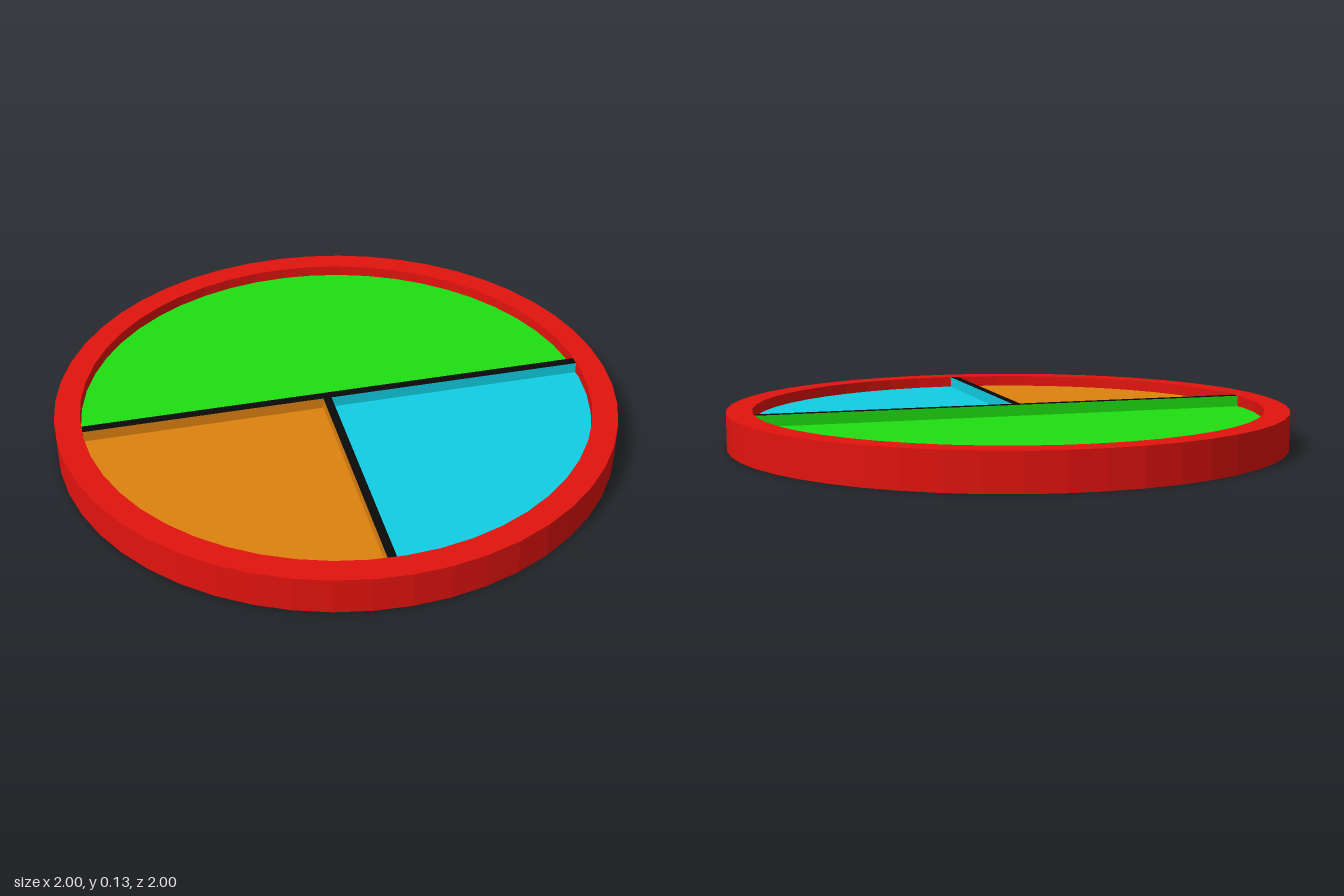
import * as THREE from 'three';

const SIDES = 50, R_OUT = 1, R_IN = 0.91, TOP = 0.13, FLOOR = 0.09;
const WALL_Z = 0.008; // centre line of the long divider
const WALL_END = 0.907; // where the dividers meet the rim
const CROSS_X = -0.041; // centre line of the short divider

const paint = (color) => new THREE.MeshStandardMaterial({ color, flatShading: true });

function addMesh(group, name, geometry, material) {
  const mesh = new THREE.Mesh(geometry, material);
  mesh.name = name;
  group.add(mesh);
  return mesh;
}

// Flat floor: inner rim corners from index a to b, closed by extra [x, z] corners
function floorGeometry(a, b, corners) {
  const points = [];
  for (let k = a; k <= b; k++) {
    const t = (k / SIDES) * Math.PI * 2;
    points.push([R_IN * Math.sin(t), R_IN * Math.cos(t)]);
  }
  const shape = new THREE.Shape([...points, ...corners].map(([x, z]) => new THREE.Vector2(x, -z)));
  return new THREE.ShapeGeometry(shape).rotateX(-Math.PI / 2).translate(0, FLOOR, 0);
}

export function createModel() {
  const model = new THREE.Group();
  model.name = 'dividedDish';
  const red = paint(0xe2130e), green = paint(0x1edf11), teal = paint(0x11cee3);
  const orange = paint(0xde820f), black = paint(0x0a0a0a), grey = paint(0xcccccc);

  // Rim: outer wall, flat top and short inner wall
  const profile = [[R_OUT, 0], [R_OUT, TOP], [R_IN, TOP], [R_IN, FLOOR]]
    .map(([r, y]) => new THREE.Vector2(r, y));
  addMesh(model, 'rim', new THREE.LatheGeometry(profile, SIDES), red);

  // Underside
  const disc = new THREE.CircleGeometry(R_OUT, SIDES, Math.PI / 2).rotateX(Math.PI / 2);
  addMesh(model, 'underside', disc, grey);

  // Compartment floors, meeting beneath the dividers
  const left = [WALL_END, WALL_Z], right = [-WALL_END, WALL_Z];
  const middle = [CROSS_X, WALL_Z], front = [-0.044, WALL_END];
  addMesh(model, 'backFloor', floorGeometry(13, 37, [right, left]), green);
  addMesh(model, 'frontLeftFloor', floorGeometry(0, 12, [left, middle, front]), teal);
  addMesh(model, 'frontRightFloor', floorGeometry(38, 49, [front, middle, right]), orange);

  // Dividers: black on top, each side in the colour of its compartment
  const h = TOP - FLOOR, y = FLOOR + h / 2;
  const longDivider = new THREE.Group();
  longDivider.name = 'longDivider';
  model.add(longDivider);
  for (const [name, x0, x1, colour] of [
    ['longDividerRight', -WALL_END, CROSS_X, orange],
    ['longDividerLeft', CROSS_X, WALL_END, teal],
  ]) {
    const box = new THREE.BoxGeometry(x1 - x0, h, 0.034);
    addMesh(longDivider, name, box, [black, black, black, black, colour, green])
      .position.set((x0 + x1) / 2, y, WALL_Z);
  }
  const z0 = WALL_Z + 0.017, z1 = 0.906;
  const cross = addMesh(model, 'shortDivider', new THREE.BoxGeometry(0.03, h, z1 - z0),
    [teal, orange, black, black, black, black]);
  cross.position.set(CROSS_X, y, (z0 + z1) / 2);
  cross.rotation.y = -0.007;

  return model;
}
